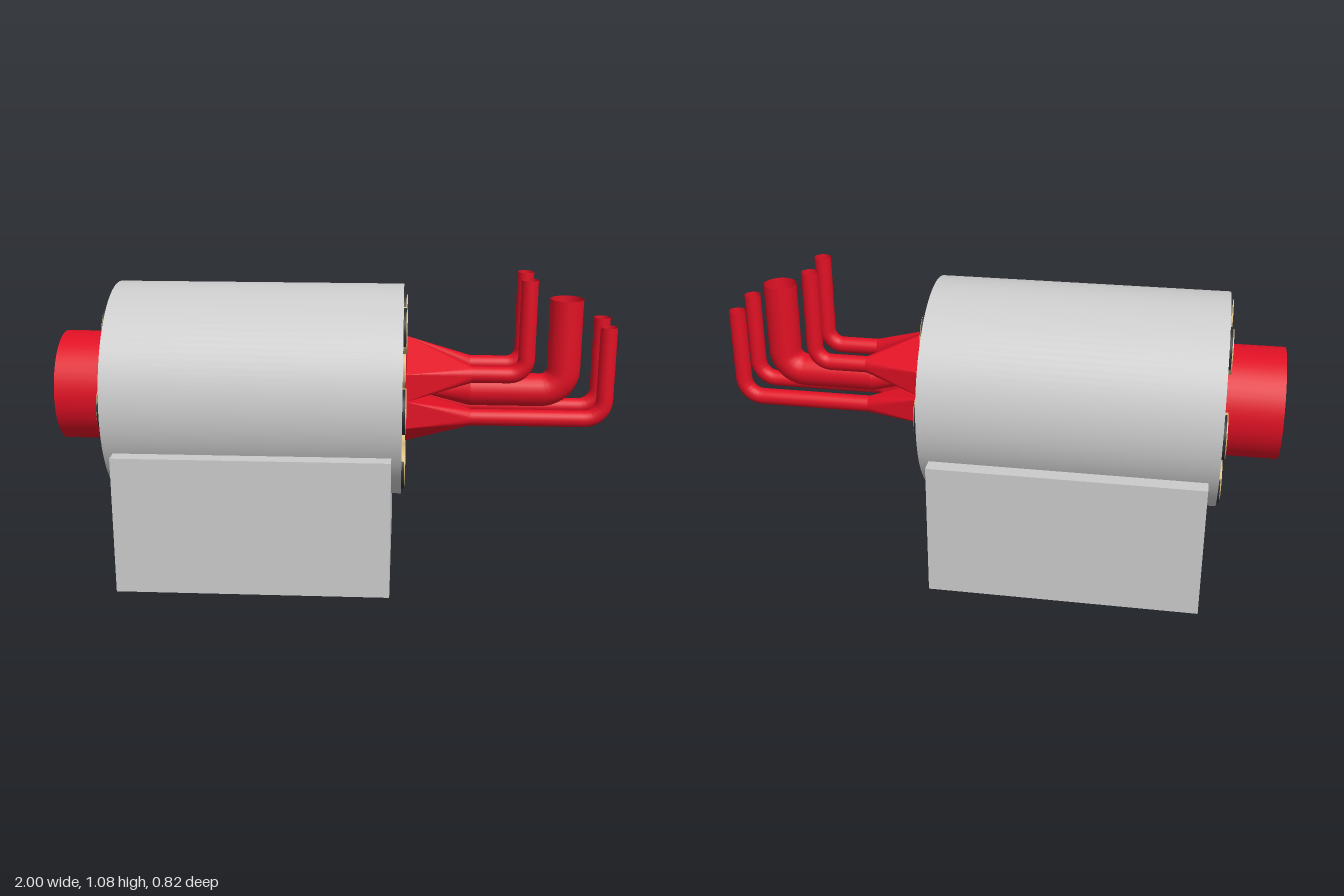
import * as THREE from 'three';
import { ConvexGeometry } from 'three/addons/geometries/ConvexGeometry.js';

const AXIS_Y = 0.65;

export function createModel() {
  const model = new THREE.Group();
  const grey = new THREE.MeshStandardMaterial({ color: 0xcccccc });
  const red = new THREE.MeshStandardMaterial({ color: 0xe01024 });
  const redFlat = new THREE.MeshStandardMaterial({ color: 0xe01024, flatShading: true });
  const redOpen = new THREE.MeshStandardMaterial({ color: 0xe01024, side: THREE.DoubleSide });
  const tan = new THREE.MeshStandardMaterial({ color: 0xd8bc7c });
  const dark = new THREE.MeshStandardMaterial({ color: 0x2a2e30 });

  const add = (name, geometry, material, parent = model) => {
    const mesh = new THREE.Mesh(geometry, material);
    mesh.name = name;
    parent.add(mesh);
    return mesh;
  };

  // Cylinder lying along x between two x positions
  const rod = (name, r, x0, x1, y, z, material, parent) => {
    const geometry = new THREE.CylinderGeometry(r, r, x1 - x0, 48).rotateZ(-Math.PI / 2);
    const mesh = add(name, geometry, material, parent);
    mesh.position.set((x0 + x1) / 2, y, z);
    return mesh;
  };

  // Base block, main drum and rear boss
  add('base', new THREE.BoxGeometry(0.97, 0.5, 0.82), grey).position.set(-0.275, 0.25, 0);
  const drum = add('drum', new THREE.CylinderGeometry(0.385, 0.385, 1.04, 96).rotateZ(Math.PI / 2), grey);
  drum.position.set(-0.275, AXIS_Y, 0);
  rod('rearBoss', 0.2, -1, -0.79, AXIS_Y, 0, red);

  // Ring of six plugs on both drum ends
  for (const [end, dir] of [[0.245, 1], [-0.795, -1]]) {
    for (let i = 0; i < 6; i++) {
      const plug = new THREE.Group();
      plug.name = 'plug';
      plug.position.set(end, AXIS_Y, 0);
      plug.rotation.x = i * Math.PI / 3;
      model.add(plug);
      const span = (depth) => (dir > 0 ? [-0.02, depth] : [-depth, 0.02]);
      rod('plugSocket', 0.08, ...span(0.01), 0, 0.292, dark, plug);
      const face = rod('plugFace', 0.08, ...span(0.014), 0, 0.286, tan, plug);
      face.scale.z = 0.925;
      rod('plugCentre', 0.006, ...span(0.0155), 0, 0.286, dark, plug);
    }
  }

  // Pipe running along x, then bending upward
  const pipe = (name, r, y, z, x, top, bend) => {
    const p = (px, py) => new THREE.Vector3(px, py, z);
    const path = [p(0.49, y), p(x - bend, y)];
    for (let i = 1; i <= 8; i++) {
      const a = (i / 8) * Math.PI / 2;
      path.push(p(x - bend + bend * Math.sin(a), y + bend - bend * Math.cos(a)));
    }
    path.push(p(x, top));
    const curve = new THREE.CurvePath();
    for (let i = 1; i < path.length; i++) curve.add(new THREE.LineCurve3(path[i - 1], path[i]));
    add(name, new THREE.TubeGeometry(curve, 96, r, 24, false), redOpen);
  };

  // Faceted funnel from a flat quarter of the hexagon to a round pipe
  const funnel = (quad, r, y, z) => {
    const points = quad.map(([qy, qz]) => new THREE.Vector3(0.257, qy, qz));
    for (let i = 0; i < 24; i++) {
      const a = (i / 24) * Math.PI * 2;
      points.push(new THREE.Vector3(0.492, y + r * Math.cos(a), z + r * Math.sin(a)));
    }
    add('funnel', new ConvexGeometry(points), redFlat);
  };

  for (const side of [1, -1]) {
    for (const up of [1, -1]) {
      const y = AXIS_Y + up * 0.08;
      const quad = [[0, 0], [0.2, 0], [0.1, 0.173], [0, 0.173]]
        .map(([qy, qz]) => [AXIS_Y + up * qy, side * qz]);
      funnel(quad, 0.03, y, side * 0.081);
      if (up > 0) pipe('upperPipe', 0.03, y, side * 0.081, 0.685, 1.075, 0.06);
      else pipe('lowerPipe', 0.03, y, side * 0.081, 0.97, 0.91, 0.07);
    }
  }

  // Central pipe growing from a point
  const cone = add('centreCone', new THREE.CylinderGeometry(0.06, 0.001, 0.235, 32).rotateZ(-Math.PI / 2), red);
  cone.position.set(0.3745, AXIS_Y + 0.003, 0);
  pipe('centrePipe', 0.06, AXIS_Y + 0.004, 0, 0.828, 0.993, 0.08);

  return model;
}
